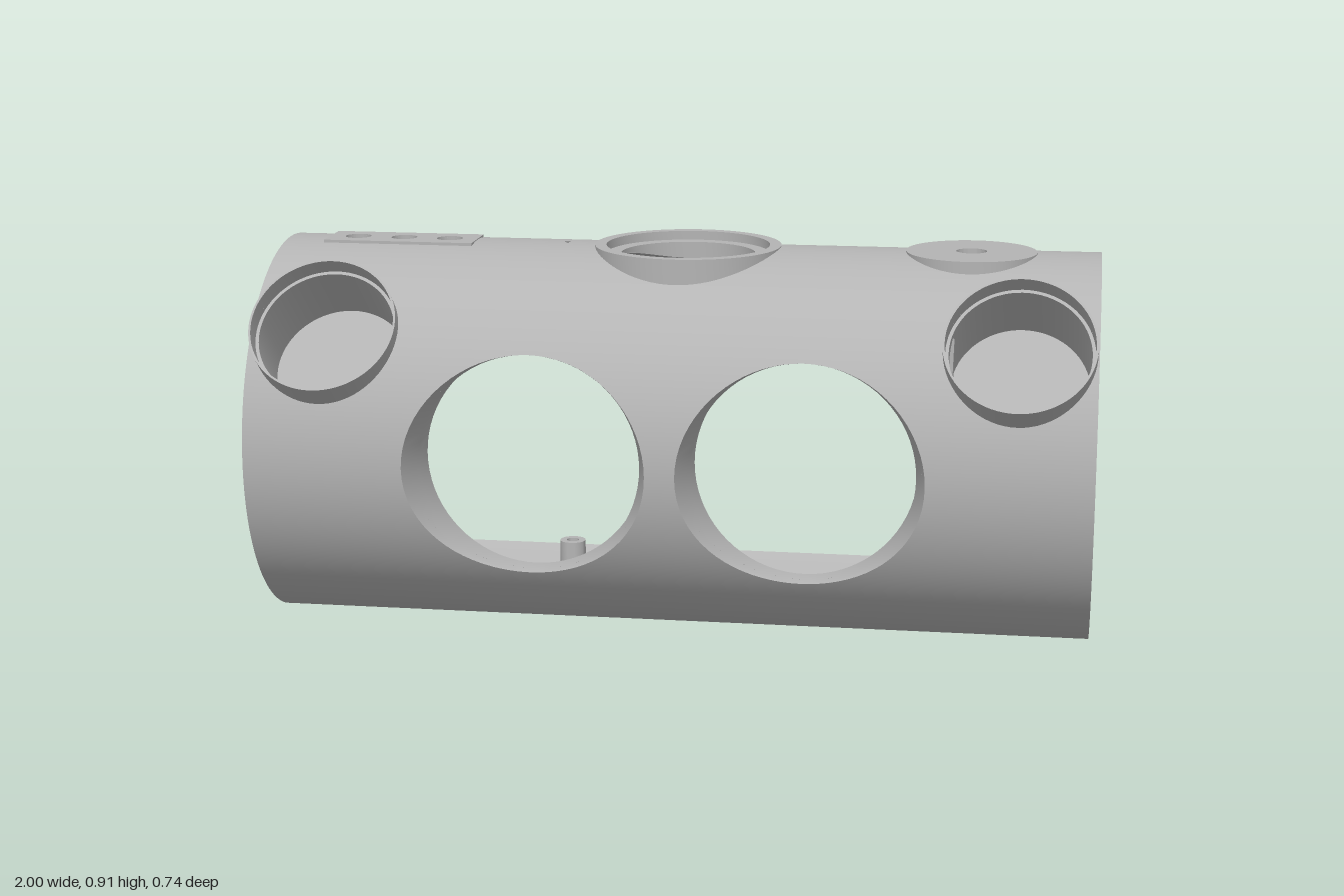
import * as THREE from 'three';
import { toCreasedNormals } from 'three/addons/utils/BufferGeometryUtils.js';

const CY = 0.44, CZ = -0.13;          // axis of the curved shell
const RO = 0.47, RI = 0.44;           // outer and inner radius
const BACK = -0.367, BLOCK_Z = 0.175;
const rad = THREE.MathUtils.degToRad;

// openings: x position, angle round the shell, outer and inner cut radius
const holes = [];
for (const s of [-1, 1]) {
  holes.push({ x: 0.82 * s, t: rad(40), ro: 0.172, ri: 0.172 });
  holes.push({ x: 0.325 * s, t: 0, ro: 0.265, ri: 0.265, flare: true });
}
holes.push({ x: 0, t: rad(90), ro: 0.21, ri: 0.165 });
holes.push({ x: 0.69, t: rad(90), ro: 0.037, ri: 0.037 });
holes.push({ x: -0.3, t: rad(90), ro: 0.007, ri: 0.007 });
const slots = [-0.83, -0.713, -0.597];
for (const x of slots) holes.push({ x, t: rad(90), ro: 0.032, ri: 0.032 });

const flared = z => 0.265 + Math.max(0, z - 0.258) * 0.3;

function makeGeometry(pos, nor) {
  const g = new THREE.BufferGeometry();
  g.setAttribute('position', new THREE.Float32BufferAttribute(pos, 3));
  if (nor) g.setAttribute('normal', new THREE.Float32BufferAttribute(nor, 3));
  else g.computeVertexNormals();
  return g;
}

// point of the flat-bottomed profile at angle t, as [y, z]
function profile(R, t) {
  const flat = R - 0.03, s = Math.sin(t);
  const r = s < 0 && -s * R > flat ? flat / -s : R;
  return [CY + r * s, CZ + r * Math.cos(t)];
}

// all row angles of one shell surface, including creases and hole rims
function rowAngles(R, key) {
  const T = Math.acos((BACK - CZ) / R), c = Math.asin((R - 0.03) / R);
  const a = [-c, c - Math.PI];
  for (let i = 0; i <= 100; i++) a.push(-T + (2 * T * i) / 100);
  if (key) for (const h of holes) {
    const n = h[key] > 0.1 ? 16 : 6;
    for (let k = -n; k <= n; k++) a.push(h.t + Math.asin((h[key] / R) * Math.sin((k / n) * Math.PI / 2)));
  }
  return a.filter(t => Math.abs(t) <= T + 1e-9).sort((p, q) => p - q)
    .filter((t, i, l) => i === 0 || t - l[i - 1] > 1e-6);
}

// curved skin built in rows, each row broken where it meets an opening
function skin(R, key, sign) {
  const half = (h, t) => {
    const v = R * Math.sin(t - h.t);
    const r = h.flare ? flared(CZ + R * Math.cos(t)) : h[key];
    return Math.abs(t - h.t) > 1.2 ? 0 : Math.sqrt(Math.max(0, r * r - v * v));
  };
  const pos = [], nor = [], rows = rowAngles(R, key), crease = Math.asin((R - 0.03) / R);
  for (let i = 0; i + 1 < rows.length; i++) {
    const t0 = rows[i], t1 = rows[i + 1], tm = (t0 + t1) / 2;
    const flat = tm < -crease && tm > crease - Math.PI;
    const active = holes.filter(h => half(h, tm) > 0).sort((a, b) => a.x - b.x);
    const edges = t => [-1, ...active.flatMap(h => [h.x - half(h, t), h.x + half(h, t)]), 1];
    const e0 = edges(t0), e1 = edges(t1);
    for (let k = 0; k < e0.length; k += 2) {
      const q = [[e0[k], t0], [e0[k + 1], t0], [e1[k + 1], t1], [e1[k], t1]];
      for (const j of sign > 0 ? [0, 1, 2, 0, 2, 3] : [0, 2, 1, 0, 3, 2]) {
        const [x, t] = q[j];
        pos.push(x, ...profile(R, t));
        if (flat) nor.push(0, -sign, 0);
        else nor.push(0, sign * Math.sin(t), sign * Math.cos(t));
      }
    }
  }
  return makeGeometry(pos, nor);
}

// flared wall of a round front window, from the block to the outer skin
function windowWall() {
  const pos = [], n = 72;
  const ring = a => {
    let z = 0.3;
    for (let i = 0; i < 8; i++) z = CZ + Math.sqrt(RO * RO - (flared(z) * Math.sin(a)) ** 2);
    return [BLOCK_Z, 0.258, Math.max(z, 0.2581)].map(d => [flared(d) * Math.cos(a), flared(d) * Math.sin(a), d]);
  };
  for (let i = 0; i < n; i++) {
    const A = ring((i / n) * 2 * Math.PI), B = ring(((i + 1) / n) * 2 * Math.PI);
    for (let k = 0; k < 2; k++)
      for (const p of [A[k], A[k + 1], B[k + 1], A[k], B[k + 1], B[k]]) pos.push(...p);
  }
  return toCreasedNormals(makeGeometry(pos), 0.6);
}

function lathe(points, segments = 48) {
  return new THREE.LatheGeometry(points.map(p => new THREE.Vector2(...p)), segments);
}
const crisp = g => toCreasedNormals(g, 0.6);

// turned part standing on the roof, trimmed to the ceiling curve
function roofPart(points) {
  const g = lathe(points, 72), p = g.attributes.position;
  for (let i = 0; i < p.count; i++)
    p.setY(i, Math.max(p.getY(i), CY + Math.sqrt(0.4405 ** 2 - p.getZ(i) ** 2)));
  return crisp(g);
}

const sideFace = pts => new THREE.ShapeGeometry(new THREE.Shape(pts.map(([y, z]) => new THREE.Vector2(z, y)))).rotateY(-Math.PI / 2);

export function createModel() {
  const grey = new THREE.MeshStandardMaterial({ color: 0xb4b4b4, side: THREE.DoubleSide });
  grey.name = 'grey';
  const model = new THREE.Group();
  model.name = 'housing';
  const add = (name, geo, x = 0, y = 0, z = 0) => {
    const m = new THREE.Mesh(geo, grey);
    m.name = name;
    m.position.set(x, y, z);
    model.add(m);
    return m;
  };

  // shell
  add('shellOutside', skin(RO, 'ro', 1));
  add('shellInside', skin(RI, 'ri', -1));
  const outline = [...rowAngles(RO).map(t => profile(RO, t)), ...rowAngles(RI).reverse().map(t => profile(RI, t))];
  for (const x of [-1, 1]) add('shellEnd', sideFace(outline), x);
  const lip = (a, b) => new THREE.PlaneGeometry(2, b - a).rotateY(Math.PI).translate(0, (a + b) / 2, BACK);
  const dy = [RI, RO].map(R => Math.sqrt(R * R - (BACK - CZ) ** 2));
  add('upperBackEdge', lip(CY + dy[0], CY + dy[1]));
  add('lowerBackEdge', lip(CY - dy[1], CY - dy[0]));

  // block behind the two windows
  const bh = Math.sqrt(RI * RI - (BLOCK_Z - CZ) ** 2), bw = 0.667;
  const face = new THREE.Shape([[-bw, -bh], [bw, -bh], [bw, bh], [-bw, bh]].map(p => new THREE.Vector2(...p)));
  for (const s of [-1, 1]) face.holes.push(new THREE.Path().absarc(0.325 * s, 0, 0.265, 0, Math.PI * 2, true));
  add('blockBack', new THREE.ShapeGeometry(face, 36).rotateY(Math.PI), 0, CY, BLOCK_Z);
  const ba = Math.acos((BLOCK_Z - CZ) / RI), arc = [];
  for (let i = 0; i <= 24; i++) arc.push(profile(RI, -ba + (2 * ba * i) / 24));

  for (const s of [-1, 1]) {
    add('blockEnd', sideFace(arc), bw * s);
    add('windowWall', windowWall(), 0.325 * s, CY, 0);

    // tilted cups at the upper front corners
    const cup = add('cup', crisp(lathe([[0, 0.262], [0.177, 0.262], [0.177, 0.504], [0.172, 0.504],
      [0.172, 0.455], [0.164, 0.455], [0.164, 0.275], [0, 0.275]], 72)), 0.82 * s, CY, CZ);
    cup.rotation.x = rad(50);

    // locating pins at the ends
    const pin = () => new THREE.CylinderGeometry(0.039, 0.039, 0.16, 32).rotateZ(Math.PI / 2);
    add('topPin', pin(), 0.92 * s, 0.859, CZ);
    add('frontPin', pin(), 0.92 * s, CY, 0.288);
    const low = new THREE.CylinderGeometry(0.038, 0.038, 0.16, 24, 1, false, 0, Math.PI).rotateZ(Math.PI / 2);
    add('bottomPin', low, 0.92 * s, 0.027, CZ);
  }

  // roof ring and round pad
  add('roofRing', roofPart([[0.228, 0.8], [0.228, 0.912], [0.2, 0.912], [0.2, 0.89], [0.165, 0.89], [0.165, 0.8]]), 0, 0, CZ);
  add('roundPad', roofPart([[0.158, 0.8], [0.158, 0.912], [0.037, 0.912], [0.037, 0.8]]), 0.69, 0, CZ);

  // flat strip with three holes
  const strip = new THREE.Shape([[-0.9, -0.068], [-0.527, -0.068], [-0.527, 0.068], [-0.9, 0.068]].map(p => new THREE.Vector2(...p)));
  for (const x of slots) strip.holes.push(new THREE.Path().absarc(x, 0, 0.032, 0, Math.PI * 2, true));
  add('holeStrip', new THREE.ExtrudeGeometry(strip, { depth: 0.031, bevelEnabled: false, curveSegments: 20 })
    .rotateX(-Math.PI / 2), 0, 0.881, CZ);

  // hollow screw posts on the floor
  for (const [x, z] of [[0.82, -0.16], [0.24, 0.042], [-0.25, 0.042], [-0.07, -0.335], [-0.33, -0.315]])
    add('floorPost', crisp(lathe([[0.033, 0.03], [0.033, 0.095], [0.016, 0.095], [0.016, 0.04], [0, 0.04]], 24)), x, 0, z);

  // hollow screw posts under the roof
  for (const [x, z] of [[0.84, -0.19], [0.6, -0.01], [0.155, 0.02], [-0.155, 0.02], [-0.6, -0.01], [-0.82, -0.312]]) {
    const top = CY + Math.sqrt(0.45 ** 2 - (Math.abs(z - CZ) + 0.015) ** 2);
    add('roofPost', crisp(lathe([[0, 0.83], [0.013, 0.83], [0.013, 0.79], [0.029, 0.79], [0.029, top]], 24)), x, 0, z);
  }
  return model;
}
